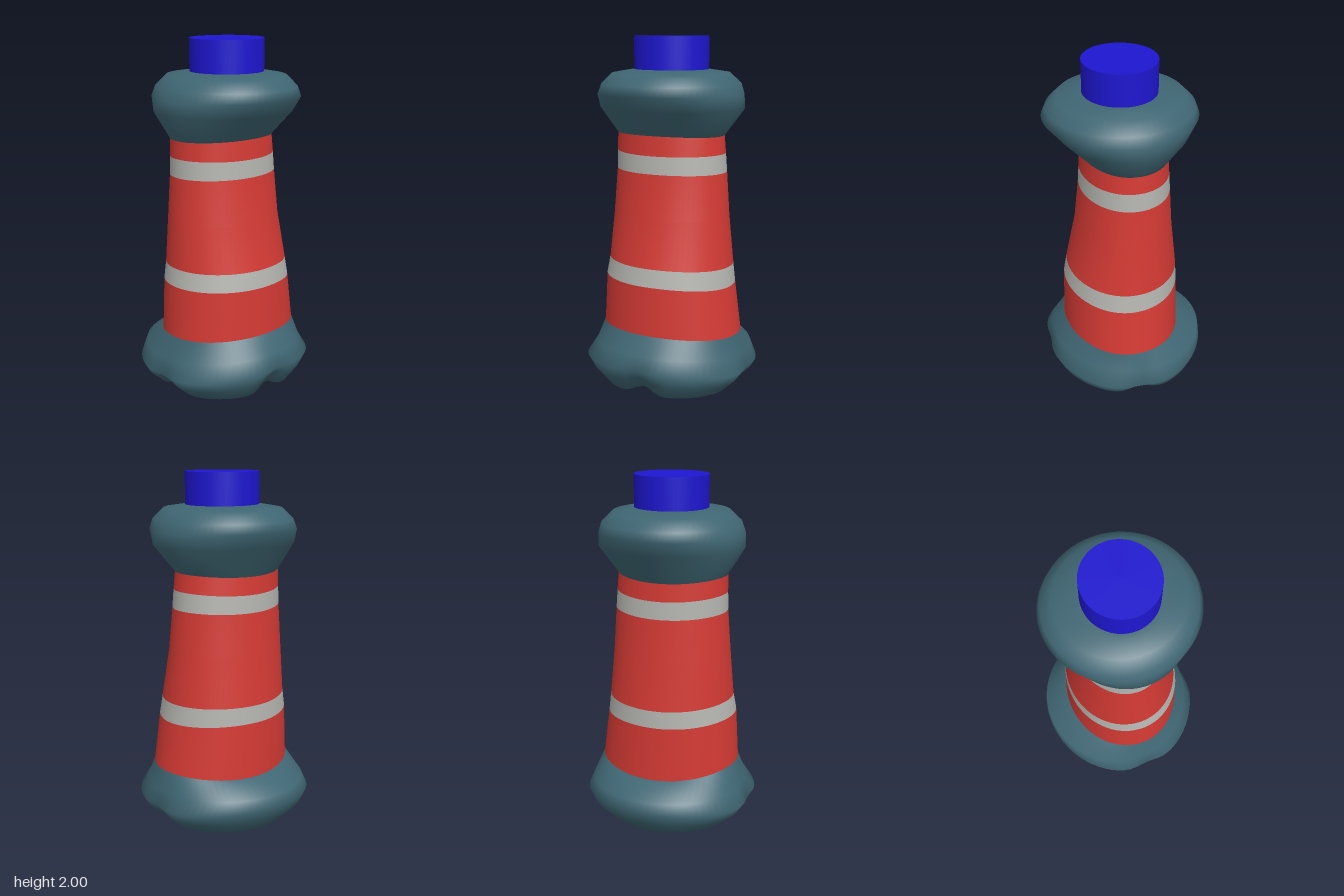
import * as THREE from 'three';

const SEG = 72;
const RED = 0xd43a34, GREY = 0xb4b4b0, TEAL = 0x3f6673, BLUE = 0x1e16d0;

// Soft dents at the left, front and back of the foot
function dent(t) {
  const g = (c, s) => {
    const d = Math.atan2(Math.sin(t - c), Math.cos(t - c));
    return s * Math.exp(-((d / 0.2) ** 2));
  };
  return g(0, 1) + g(Math.PI / 2, 1) + g(-Math.PI / 2, 0.8);
}

// Ring: x = [min, max], z = [min, max], y = heights at [-x, +x, -z, +z]
// pinch and lift shape the dents
function ringPoint({ x, z, y, pinch = 0, lift = 0 }, t) {
  const c = Math.cos(t), s = Math.sin(t), d = dent(t), k = 1 - pinch * d;
  const h = c * c * (c < 0 ? y[0] : y[1]) + s * s * (s < 0 ? y[2] : y[3]);
  return [
    (x[0] + x[1]) / 2 + c * k * (x[1] - x[0]) / 2,
    h + lift * d,
    (z[0] + z[1]) / 2 + s * k * (z[1] - z[0]) / 2,
  ];
}

// Closed skin through rings listed from bottom to top
function loft(name, rings, color) {
  const pos = [], index = [];
  rings.forEach((ring, i) => {
    for (let j = 0; j < SEG; j++) {
      pos.push(...ringPoint(ring, (j / SEG) * Math.PI * 2));
      if (i === rings.length - 1) continue;
      const a = i * SEG + j, b = i * SEG + (j + 1) % SEG;
      index.push(a, a + SEG, b, b, a + SEG, b + SEG);
    }
  });
  const geo = new THREE.BufferGeometry();
  geo.setAttribute('position', new THREE.Float32BufferAttribute(pos, 3));
  geo.setIndex(index);
  geo.computeVertexNormals();
  const mesh = new THREE.Mesh(geo, new THREE.MeshStandardMaterial({ color }));
  mesh.name = name;
  return mesh;
}

export function createModel() {
  const group = new THREE.Group();
  group.name = 'bollard';

  // Shared rings where the colours of the tapered column meet
  const foot = { x: [-0.32, 0.365], z: [-0.425, 0.4], y: [0.3, 0.36, 0.33, 0.345] };
  const low0 = { x: [-0.314, 0.354], z: [-0.385, 0.383], y: [0.62, 0.64, 0.61, 0.64] };
  const low1 = { x: [-0.308, 0.336], z: [-0.37, 0.366], y: [0.72, 0.74, 0.72, 0.74] };
  const waist = { x: [-0.278, 0.278], z: [-0.34, 0.35], y: [1, 1, 1, 1] };
  const high0 = { x: [-0.262, 0.25], z: [-0.322, 0.333], y: [1.24, 1.255, 1.25, 1.255] };
  const high1 = { x: [-0.256, 0.243], z: [-0.314, 0.331], y: [1.34, 1.355, 1.355, 1.36] };
  const neck = { x: [-0.25, 0.235], z: [-0.305, 0.33], y: [1.44, 1.465, 1.455, 1.46] };

  // Rounded foot with a closed underside
  group.add(loft('foot', [
    { x: [0, 0], z: [0, 0], y: [0.02, 0.02, 0.02, 0.02] },
    { x: [-0.37, 0.39], z: [-0.4, 0.4], y: [0.002, 0.012, 0.005, 0.005], pinch: 0.1, lift: 0.04 },
    { x: [-0.45, 0.45], z: [-0.475, 0.475], y: [0.09, 0.1, 0.07, 0.07], pinch: 0.09, lift: 0.025 },
    { x: [-0.475, 0.485], z: [-0.507, 0.51], y: [0.16, 0.18, 0.13, 0.13], pinch: 0.05 },
    { x: [-0.468, 0.44], z: [-0.46, 0.455], y: [0.23, 0.26, 0.22, 0.22], pinch: 0.01 },
    foot,
  ], TEAL));

  // Column with two pale bands
  group.add(loft('lowerColumn', [foot, low0], RED));
  group.add(loft('lowerBand', [low0, low1], GREY));
  group.add(loft('middleColumn', [low1, waist, high0], RED));
  group.add(loft('upperBand', [high0, high1], GREY));
  group.add(loft('upperColumn', [high1, neck], RED));

  // Flared collar with a closed top
  group.add(loft('collar', [
    neck,
    { x: [-0.355, 0.36], z: [-0.42, 0.42], y: [1.605, 1.6, 1.605, 1.61] },
    { x: [-0.41, 0.44], z: [-0.41, 0.408], y: [1.69, 1.69, 1.68, 1.68] },
    { x: [-0.39, 0.418], z: [-0.393, 0.388], y: [1.74, 1.74, 1.74, 1.74] },
    { x: [-0.33, 0.36], z: [-0.33, 0.325], y: [1.8, 1.8, 1.8, 1.8] },
    { x: [-0.19, 0.22], z: [-0.21, 0.21], y: [1.82, 1.82, 1.82, 1.82] },
    { x: [0.017, 0.017], z: [0, 0], y: [1.82, 1.82, 1.82, 1.82] },
  ], TEAL));

  // Short post on top
  const post = new THREE.Mesh(
    new THREE.CylinderGeometry(1, 1, 0.2, 48),
    new THREE.MeshStandardMaterial({ color: BLUE }),
  );
  post.name = 'topPost';
  post.scale.set(0.204, 1, 0.21);
  post.position.set(0.017, 1.9, -0.005);
  group.add(post);

  return group;
}
